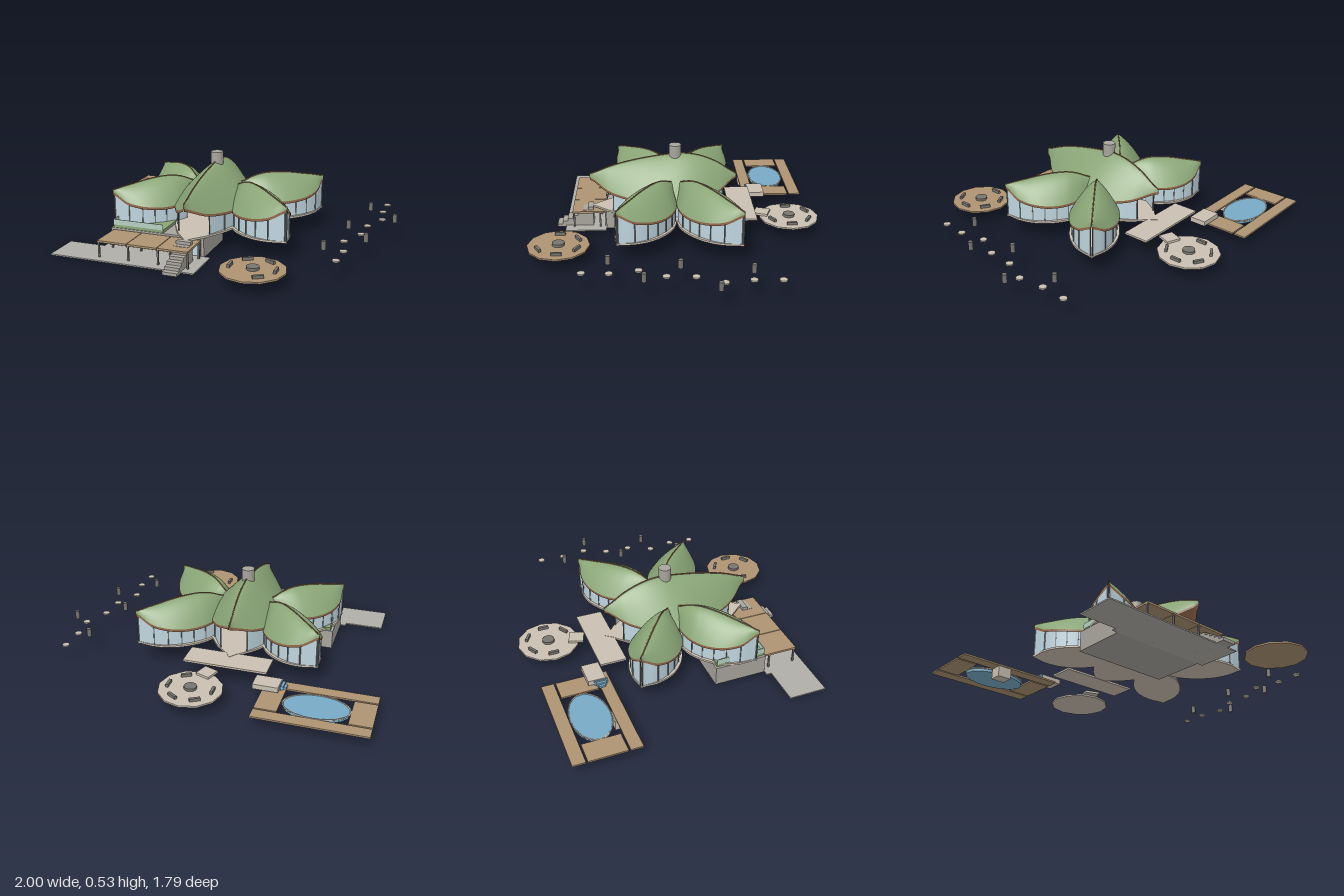
import * as THREE from 'three';
import { ParametricGeometry } from 'three/addons/geometries/ParametricGeometry.js';

const mat = (color, flat = false) =>
  new THREE.MeshStandardMaterial({ color, side: THREE.DoubleSide, flatShading: flat });
const M = {
  green: mat(0x8aa577), trim: mat(0x94694a), timber: mat(0xad9372), glass: mat(0xc0d6e0),
  frame: mat(0x75797a), stone: mat(0xcac0b2), concrete: mat(0xa9a59d), dark: mat(0x77756f),
  paving: mat(0xb0aea9), water: mat(0x78aac6), rail: mat(0xb5cfc2),
};

// Evenly spaced values along 0..1, smoothly joined
function profile(values) {
  const c = new THREE.SplineCurve(values.map((v, i) => new THREE.Vector2(i, v)));
  return t => c.getPoint(t).y;
}

export function createModel() {
  const model = new THREE.Group();
  const add = (parent, name, geo, m) => {
    const mesh = new THREE.Mesh(geo, m);
    mesh.name = name;
    parent.add(mesh);
    return mesh;
  };
  // Box from its extents
  const box = (name, x0, x1, y0, y1, z0, z1, m, parent = model) => {
    const b = add(parent, name, new THREE.BoxGeometry(x1 - x0, y1 - y0, z1 - z0), m);
    b.position.set((x0 + x1) / 2, (y0 + y1) / 2, (z0 + z1) / 2);
    return b;
  };
  // Upright cylinder from its base and top
  const drum = (name, x, z, r, y0, y1, m, sides = 20, parent = model) => {
    const c = add(parent, name, new THREE.CylinderGeometry(r, r, y1 - y0, sides), m);
    c.position.set(x, (y0 + y1) / 2, z);
    return c;
  };

  // Leaf pavilion: ridged roof, eave trim, glass walls and floor, running along local +z
  function leaf(name, [bx, bz], [tx, tz], o) {
    const g = new THREE.Group();
    g.name = name;
    g.position.set(bx, 0, bz);
    g.rotation.y = Math.atan2(tx - bx, tz - bz);
    model.add(g);
    const len = Math.hypot(tx - bx, tz - bz);
    const wf = profile(o.width), ridge = profile(o.ridge), eave = profile(o.eave);
    const half = t => Math.max(0.003, o.w * wf(t));
    const roofY = (t, s) => eave(t) + (ridge(t) - eave(t)) * (1 - Math.abs(s) ** o.curve);
    const at = (t, s, dy = 0) => new THREE.Vector3(half(t) * s, roofY(t, s) + dy, len * t);

    for (const side of [-1, 1]) {
      const s = v => (side < 0 ? v - 1 : v);
      add(g, 'roof', new ParametricGeometry((u, v, p) => p.copy(at(u, s(v))), 32, 10), M.green);
      add(g, 'ceiling', new ParametricGeometry((u, v, p) => p.copy(at(1 - u, s(v), -0.012)), 32, 10), M.trim);
      // Fascia band along the eave
      add(g, 'eaveTrim', new ParametricGeometry((u, v, p) => p.copy(at(u, side, 0.002 - 0.016 * v)), 32, 1), M.trim);
      // Glass wall following the outline
      const [t0, t1] = o.wall;
      const inset = 0.88;
      add(g, 'glassWall', new ParametricGeometry((u, v, p) => {
        const t = t0 + (t1 - t0) * u;
        p.copy(at(t, side * inset, -0.012));
        p.y = 0.13 + (p.y - 0.13) * v;
      }, 24, 1), M.glass);
      for (let i = 0; i <= 6; i++) {
        const p = at(t0 + (t1 - t0) * i / 6, side * (inset + 0.01), -0.012);
        box('mullion', p.x - 0.003, p.x + 0.003, 0.13, p.y, p.z - 0.003, p.z + 0.003, M.frame, g);
      }
    }
    const ridgeLine = [...Array(17)].map((_, i) => at(i / 16, 0, 0.001));
    add(g, 'ridgeBeam', new THREE.TubeGeometry(new THREE.CatmullRomCurve3(ridgeLine), 32, 0.004, 5), M.trim);
    // Floor slab with the same outline
    const pts = [];
    for (let i = 0; i <= 24; i++) pts.push(new THREE.Vector2(half(i / 24), -len * i / 24));
    for (let i = 24; i >= 0; i--) pts.push(new THREE.Vector2(-half(i / 24), -len * i / 24));
    const slab = new THREE.ExtrudeGeometry(new THREE.Shape(pts), { depth: 0.012, bevelEnabled: false });
    add(g, 'floor', slab.rotateX(-Math.PI / 2).translate(0, 0.12, 0), M.stone);
  }

  leaf('mainPavilion', [-0.1, -0.39], [-0.1, 0.54], {
    w: 0.235, curve: 1.3, wall: [0.1, 0.84],
    width: [0, 0.48, 0.8, 0.98, 1, 0.86, 0.66, 0.38, 0],
    ridge: [0.335, 0.41, 0.46, 0.478, 0.468, 0.45, 0.425, 0.39, 0.345],
    eave: [0.32, 0.27, 0.25, 0.24, 0.24, 0.24, 0.245, 0.265, 0.32],
  });
  const petal = {
    w: 0.15, curve: 1.7, wall: [0.15, 0.985],
    width: [0.25, 0.62, 0.87, 0.98, 1, 0.94, 0.78, 0.48, 0],
    ridge: [0.345, 0.372, 0.388, 0.39, 0.385, 0.375, 0.362, 0.35, 0.336],
    eave: [0.25, 0.245, 0.24, 0.235, 0.235, 0.24, 0.25, 0.27, 0.32],
  };
  leaf('frontRightPavilion', [-0.25, 0.03], [-0.635, 0.375], petal);
  leaf('frontLeftPavilion', [0.05, 0.03], [0.455, 0.36], petal);
  leaf('backLeftPavilion', [0.05, -0.03], [0.49, -0.377], petal);
  leaf('backRightPavilion', [-0.25, -0.04], [-0.62, -0.345], petal);

  // Chimney through the main roof, with a brick pier beside it
  drum('chimney', -0.1, 0, 0.038, 0.12, 0.535, M.concrete);
  box('brickPier', -0.045, -0.015, 0.13, 0.3, 0.02, 0.05, M.trim);

  // Basement with a glazed front and a planted terrace on top
  box('basement', -0.62, -0.02, 0, 0.12, 0.12, 0.44, M.concrete);
  box('basementGlazing', -0.6, -0.04, 0.012, 0.1, 0.44, 0.445, M.glass);
  for (let i = 0; i <= 6; i++) {
    const x = -0.6 + i * 0.0933;
    box('glazingBar', x - 0.003, x + 0.003, 0.01, 0.105, 0.443, 0.449, M.frame);
  }
  box('plantedTerrace', -0.605, -0.28, 0.12, 0.138, 0.13, 0.435, M.green);
  box('terraceRailing', -0.605, -0.28, 0.138, 0.172, 0.432, 0.436, M.rail);
  box('terraceRailing', -0.607, -0.603, 0.138, 0.172, 0.13, 0.436, M.rail);

  // Paving, raised timber deck and its posts
  box('paving', -0.655, 0.02, 0, 0.008, 0.44, 0.7, M.paving);
  box('paving', -0.89, -0.655, 0, 0.008, 0.47, 0.7, M.paving);
  for (let i = 0; i < 3; i++) {
    const x = -0.6 + i * 0.19;
    box('deckPanel', x, x + 0.186, 0.1, 0.112, 0.45, 0.655, M.timber);
  }
  for (let i = 0; i < 4; i++) {
    const x = Math.min(-0.594 + i * 0.188, -0.036);
    for (const z of [0.48, 0.645]) box('deckPost', x - 0.005, x + 0.005, 0, 0.1, z - 0.005, z + 0.005, M.dark);
  }

  // Front steps
  for (let i = 0; i < 7; i++) {
    const z = 0.755 - i * 0.033;
    box('frontStep', -0.145, -0.055, 0, 0.019 * (i + 1), z - 0.033, z, M.concrete);
  }

  // Round seating platforms with fire bowl and benches
  function platform(name, x, z, y, m) {
    const g = new THREE.Group();
    g.name = name;
    g.position.set(x, 0, z);
    model.add(g);
    drum('platform', 0, 0, 0.186, y - 0.01, y, m, 12, g);
    drum('fireBowl', 0, 0, 0.037, y, y + 0.016, M.dark, 16, g);
    for (const deg of [0, 60, 180, 240, 300]) {
      const a = deg * Math.PI / 180;
      const b = box('bench', -0.008, 0.008, y, y + 0.018, -0.031, 0.031, M.dark, g);
      b.position.x = 0.13 * Math.cos(a);
      b.position.z = 0.13 * Math.sin(a);
      b.rotation.y = -a;
    }
  }
  platform('frontPlatform', 0.367, 0.705, 0.088, M.timber);
  platform('backPlatform', 0.025, -0.717, 0.09, M.stone);

  // Back terrace with steps to the platform and to the pool
  box('backTerrace', -0.355, 0.15, 0.118, 0.13, -0.5, -0.34, M.stone);
  box('platformStep', -0.045, 0.045, 0.094, 0.108, -0.045, 0.045, M.stone)
    .position.set(-0.015, 0.1, -0.55);
  model.children[model.children.length - 1].rotation.y = -0.35;
  box('cascadeLedge', -0.45, -0.3, 0.08, 0.11, -0.605, -0.5, M.stone);
  for (let i = 0; i < 3; i++) {
    const x = -0.44 - i * 0.015;
    box('cascadeWater', x - 0.015, x, 0.07, 0.105 - i * 0.01, -0.57 + i * 0.01, -0.49 - i * 0.01, M.water);
  }

  // Pool with timber surround
  const poolGroup = new THREE.Group();
  poolGroup.name = 'pool';
  poolGroup.position.set(-0.68, 0, -0.665);
  poolGroup.scale.z = 0.61;
  model.add(poolGroup);
  drum('water', 0, 0, 0.185, 0.05, 0.07, M.water, 20, poolGroup);
  const rim = add(poolGroup, 'poolRim', new THREE.TorusGeometry(0.188, 0.005, 6, 24).rotateX(Math.PI / 2), M.stone);
  rim.position.y = 0.07;
  for (const [x0, x1, z0, z1] of [
    [-1, -0.355, -0.86, -0.785], [-1, -0.355, -0.542, -0.47],
    [-1, -0.87, -0.775, -0.553], [-0.485, -0.355, -0.775, -0.553],
  ]) box('poolDeck', x0, x1, 0.064, 0.074, z0, z1, M.timber);
  box('poolPier', -0.765, -0.68, 0, 0.064, -0.55, -0.475, M.stone);

  // Garden path: stepping stones and bollards
  for (const [x, z] of [[0.78, 0.54], [0.79, 0.39], [0.76, 0.23], [0.83, 0.08],
    [0.84, -0.08], [0.905, -0.23], [0.885, -0.385], [0.89, -0.54]])
    drum('steppingStone', x, z, 0.022, 0.124, 0.132, M.stone, 12);
  for (const [x, z] of [[0.68, 0.4], [0.88, 0.2], [0.74, 0], [0.985, -0.2], [0.805, -0.395]])
    drum('bollard', x, z, 0.014, 0.128, 0.18, M.dark, 10);

  return model;
}
